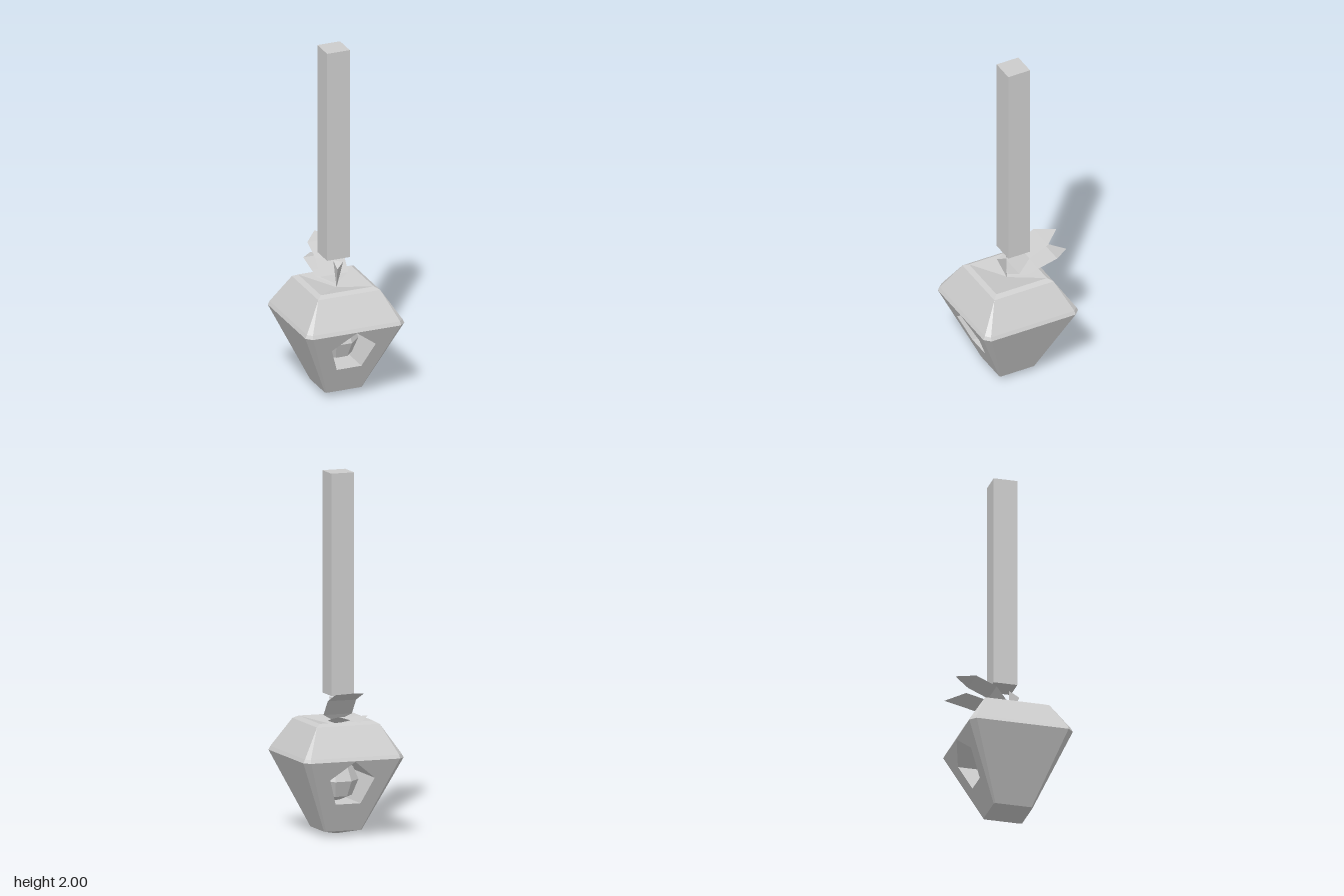
import * as THREE from 'three';

const CZ = 0.033; // depth centre of the fruit

// Flat-shaded geometry from corner loops (triangles or quads, counter-clockwise)
function facets(loops) {
  const pos = [];
  const tri = (a, b, c) => {
    const [A, B, C] = [a, b, c].map((p) => new THREE.Vector3(...p));
    if (B.sub(A).cross(C.sub(A)).lengthSq() > 1e-14) pos.push(...a, ...b, ...c);
  };
  for (const [a, b, c, d] of loops) {
    tri(a, b, c);
    if (d) tri(a, c, d);
  }
  const g = new THREE.BufferGeometry();
  g.setAttribute('position', new THREE.Float32BufferAttribute(pos, 3));
  g.computeVertexNormals();
  return g;
}

// Square cross-section with cut corners: y, half width, corner cut
function ring([y, h, c]) {
  const k = h - c;
  return [[k, h], [h, k], [h, -k], [k, -h], [-k, -h], [-h, -k], [-h, k], [-k, h]]
    .map(([x, z]) => [x, y, z + CZ]);
}

export function createModel() {
  const model = new THREE.Group();
  const grey = new THREE.MeshStandardMaterial({ color: 0xcccccc });
  const greyThin = new THREE.MeshStandardMaterial({ color: 0xcccccc, side: THREE.DoubleSide });
  grey.name = 'grey';
  greyThin.name = 'greyThin';
  const add = (name, geometry, material = grey) => {
    const mesh = new THREE.Mesh(geometry, material);
    mesh.name = name;
    model.add(mesh);
    return mesh;
  };

  // Fruit body: stacked rings, closed by a point below and a dimple above
  const low = [0.03, 0.11, 0.008], wide = [0.44, 0.293, 0.033];
  const sections = [
    [0, 0, 0], low, wide, [0.46, 0.283, 0.025],
    [0.62, 0.183, 0], [0.635, 0.157, 0], [0.595, 0, 0],
  ];
  const rings = sections.map(ring);
  const skin = [];
  for (let r = 0; r < rings.length - 1; r++) {
    for (let i = 0; i < 8; i++) {
      if (r === 1 && (i === 3 || i === 7)) continue; // pierced panels go here
      const j = (i + 1) % 8;
      skin.push([rings[r][i], rings[r][j], rings[r + 1][j], rings[r + 1][i]]);
    }
  }
  add('fruitBody', facets(skin));

  // Front and back panels with a five-sided opening
  const depth = (y) => THREE.MathUtils.mapLinear(y, low[0], wide[0], low[1], wide[1]);
  const hole = [[-0.073, 0.188], [0.073, 0.188], [0.13, 0.335], [0, 0.436], [-0.13, 0.335]];
  const toVectors = (list) => list.map(([x, y]) => new THREE.Vector2(x, y));
  const kl = low[1] - low[2], kw = wide[1] - wide[2];
  const outline = new THREE.Shape(toVectors([[-kl, low[0]], [kl, low[0]], [kw, wide[0]], [-kw, wide[0]]]));
  outline.holes.push(new THREE.Path(toVectors(hole)));
  for (const side of ['front', 'back']) {
    const g = new THREE.ShapeGeometry(outline).toNonIndexed();
    const p = g.attributes.position;
    for (let i = 0; i < p.count; i++) p.setZ(i, depth(p.getY(i)));
    if (side === 'back') g.rotateY(Math.PI);
    g.translate(0, 0, CZ);
    g.computeVertexNormals();
    add(side + 'Panel', g);
  }

  // Tunnel walls joining the two openings
  add('tunnel', facets(hole.map(([x, y], i) => {
    const [u, v] = hole[(i + 1) % 5];
    return [[x, y, CZ + depth(y)], [u, v, CZ + depth(v)], [u, v, CZ - depth(v)], [x, y, CZ - depth(y)]];
  })));

  // Faceted core floating inside the tunnel
  const core = new THREE.SphereGeometry(0.122, 8, 4).rotateY(Math.PI / 8).toNonIndexed();
  core.computeVertexNormals();
  add('core', core).position.set(0, 0.3, CZ);

  // Three-sided stem widening upward
  const foot = [0, 0.595, 0.04];
  const top = [[-0.017, 0.725, 0.092], [0.03, 0.75, 0.06], [-0.017, 0.757, 0.035]];
  add('stem', facets([top, ...top.map((p, i) => [foot, top[(i + 1) % 3], p])]));

  // Leaves: bent strips with pointed ends, profile points are [y, z]
  const leaf = (name, profile) => {
    const w = 0.083, last = profile.length - 1;
    const rows = profile.map(([y, z], i) => {
      const h = i === 0 || i === last ? 0 : w;
      return [[-h, y, z], [h, y, z]];
    });
    const loops = rows.slice(1).map((b, i) => [rows[i][0], rows[i][1], b[1], b[0]]);
    add(name, facets(loops), greyThin);
  };
  leaf('upperLeaf', [[0.615, 0.035], [0.66, 0.008], [0.745, -0.055], [0.795, -0.17], [0.815, -0.265]]);
  leaf('lowerLeaf', [[0.605, 0.03], [0.638, -0.055], [0.655, -0.11], [0.683, -0.227], [0.66, -0.328]]);

  // Tall square post hovering above the stem
  add('post', new THREE.BoxGeometry(0.134, 1.225, 0.134)).position.set(0, 1.3875, 0);

  return model;
}
